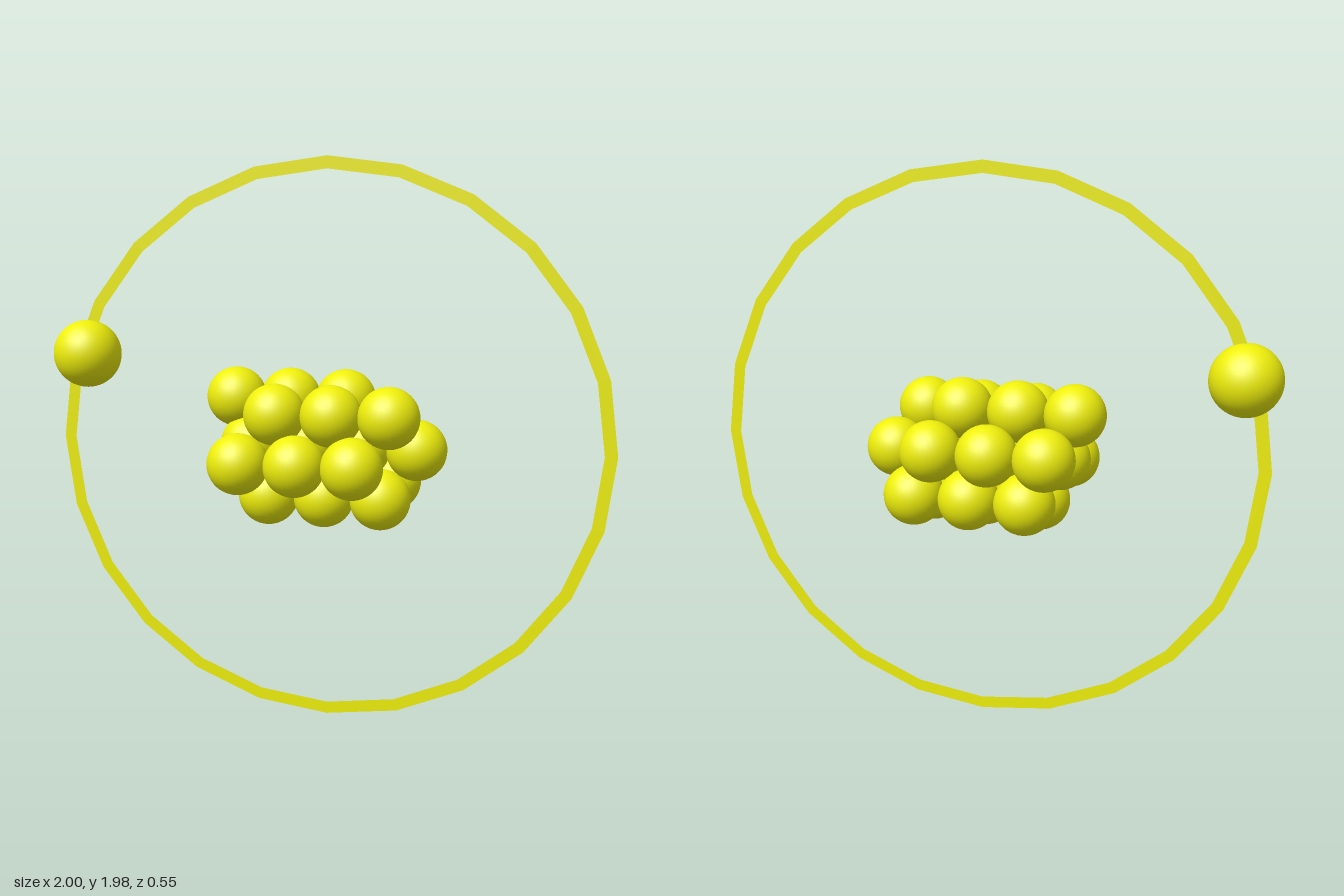
import * as THREE from 'three';

export function createModel() {
  const model = new THREE.Group();
  model.name = 'atom';
  const yellow = new THREE.MeshStandardMaterial({ color: 0xeeee0c });
  const flatYellow = new THREE.MeshStandardMaterial({ color: 0xeeee0c, side: THREE.DoubleSide });

  const add = (parent, name, geometry, material, x, y, z) => {
    const mesh = new THREE.Mesh(geometry, material);
    mesh.name = name;
    mesh.position.set(x, y, z);
    parent.add(mesh);
  };

  // Flat orbit band with 24 straight segments
  add(model, 'orbit', new THREE.RingGeometry(0.947, 0.99, 24), flatYellow, 0.01, 0.99, 0);

  // Electron sitting on the orbit
  add(model, 'electron', new THREE.SphereGeometry(0.121, 40, 28), yellow, -0.88, 1.295, 0);

  // Nucleus: rows of touching balls along x, each [first x, y, z, count]
  const nucleus = new THREE.Group();
  nucleus.name = 'nucleus';
  model.add(nucleus);
  const ball = new THREE.SphereGeometry(0.106, 36, 24);
  const spacing = 0.199;
  const rows = {
    topRow: [-0.33, 1.15, -0.045, 3],
    upperFrontRow: [-0.15, 1.112, 0.112, 3],
    backRow: [-0.255, 1.02, -0.168, 3],
    coreRow: [-0.272, 0.985, -0.012, 4],
    frontRow: [-0.265, 0.945, 0.17, 3],
    lowerBackRow: [-0.18, 0.85, -0.132, 3],
    bottomRow: [-0.19, 0.817, 0.042, 3],
  };
  for (const [name, [x, y, z, count]] of Object.entries(rows)) {
    const row = new THREE.Group();
    row.name = name;
    nucleus.add(row);
    for (let i = 0; i < count; i++) add(row, 'nucleon', ball, yellow, x + i * spacing, y, z);
  }

  return model;
}
